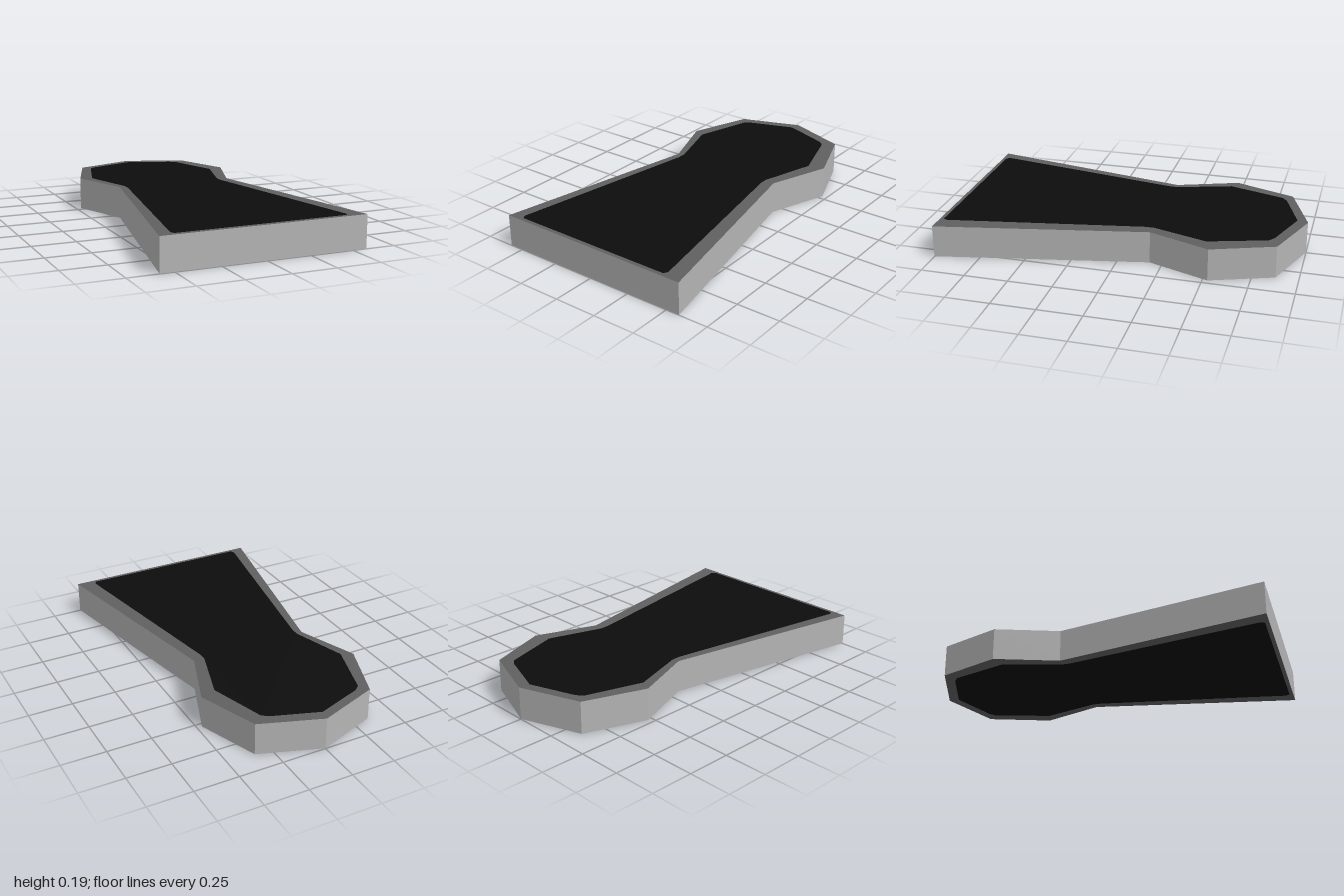
import * as THREE from 'three';

const HEIGHT = 0.187;
const GAP = 0.0015; // lift of the dark faces off the body

// Right half of each outline as [x, z], from the back tip to the front corner
const OUTER = [[0, -1], [0.345, -0.875], [0.472, -0.528], [0.345, -0.18], [0.58, 1]];
const INNER = [[0, -0.94], [0.26, -0.848], [0.295, -0.82], [0.394, -0.5], [0.298, -0.19],
  [0.298, -0.14], [0.493, 0.955], [0.48, 0.978]];

// Mirrors a half outline into a closed shape; zSign maps z onto the shape's y
function keyholeShape(half, zSign, shift = 0) {
  const left = half.slice(1).reverse().map(([x, z]) => [-x, z]);
  return new THREE.Shape([...half, ...left].map(([x, z]) => new THREE.Vector2(x + shift, z * zSign)));
}

function addMesh(group, name, geometry, material) {
  const mesh = new THREE.Mesh(geometry, material);
  mesh.name = name;
  group.add(mesh);
}

export function createModel() {
  const group = new THREE.Group();
  group.name = 'keyhole';

  const material = (name, color) => new THREE.MeshStandardMaterial({ name, color });
  const wallGrey = material('wallGrey', 0xb4b4b4);
  const rimGrey = material('rimGrey', 0x606060);
  const holeBlack = material('holeBlack', 0x0d0d0d);

  // Keyhole-shaped slab: dark grey caps, light grey walls
  const body = new THREE.ExtrudeGeometry(keyholeShape(OUTER, -1), {
    depth: HEIGHT - 2 * GAP, bevelEnabled: false,
  });
  body.rotateX(-Math.PI / 2).translate(0, GAP, 0);
  addMesh(group, 'body', body, [rimGrey, wallGrey]);

  // Black keyhole face on the top, set slightly off centre
  const top = new THREE.ShapeGeometry(keyholeShape(INNER, -1, -0.012));
  top.rotateX(-Math.PI / 2).translate(0, HEIGHT, 0);
  addMesh(group, 'topOpening', top, holeBlack);

  // Matching black face underneath
  const bottom = new THREE.ShapeGeometry(keyholeShape(INNER, 1));
  bottom.rotateX(Math.PI / 2);
  addMesh(group, 'bottomOpening', bottom, holeBlack);

  return group;
}
